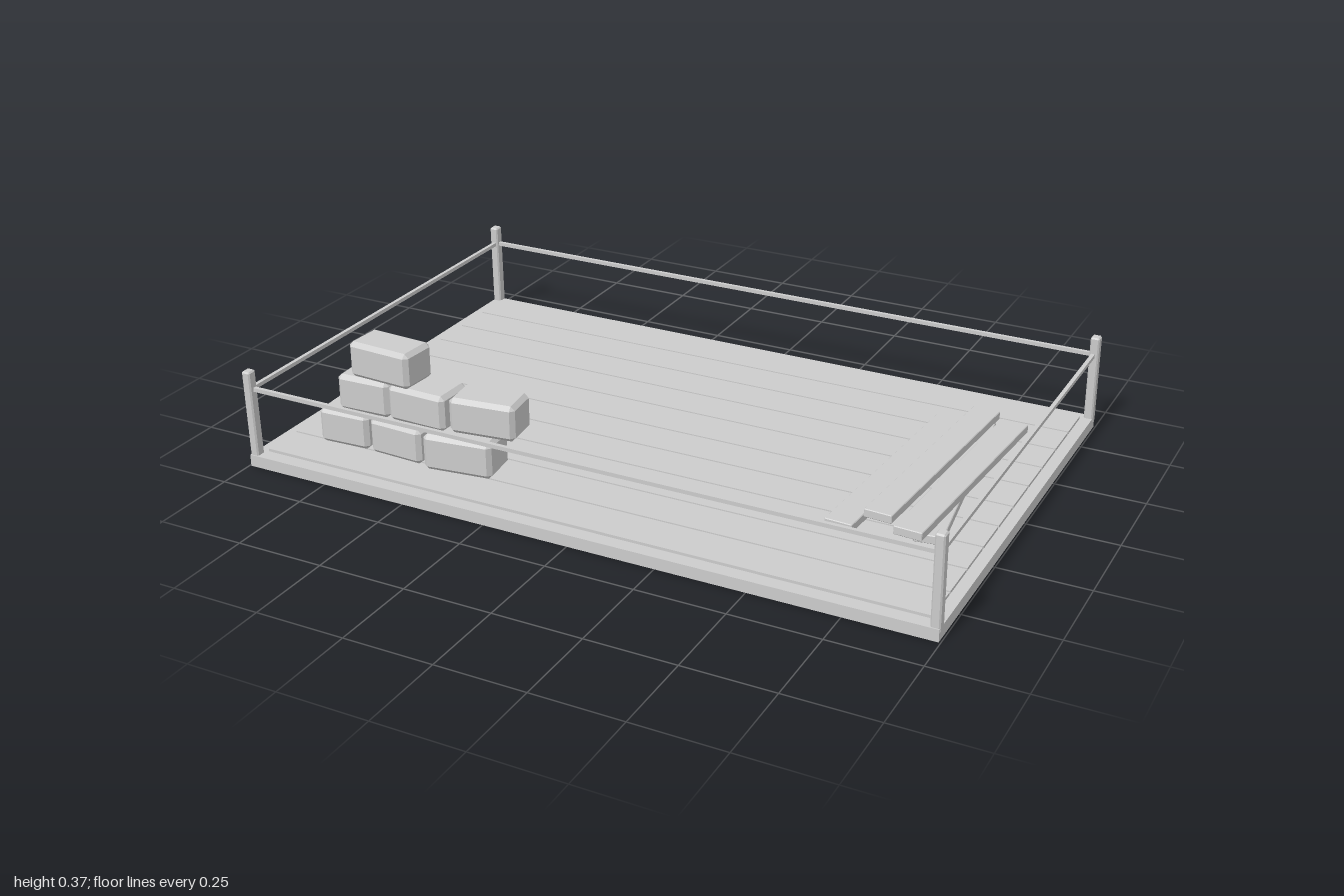
import * as THREE from 'three';
import { ConvexGeometry } from 'three/addons/geometries/ConvexGeometry.js';

// Block with all its edges cut off at a slant
function chamferedBox(w, h, d, c) {
  const points = [];
  for (const sx of [-1, 1]) for (const sy of [-1, 1]) for (const sz of [-1, 1]) {
    const x = w / 2, y = h / 2, z = d / 2;
    points.push(
      new THREE.Vector3(sx * x, sy * (y - c), sz * (z - c)),
      new THREE.Vector3(sx * (x - c), sy * y, sz * (z - c)),
      new THREE.Vector3(sx * (x - c), sy * (y - c), sz * z));
  }
  return new ConvexGeometry(points);
}

export function createModel() {
  const model = new THREE.Group();
  model.name = 'fencedPlatform';
  const grey = new THREE.MeshStandardMaterial({ color: 0xcccccc });
  grey.name = 'lightGrey';

  const add = (name, geometry, x, y, z, parent = model) => {
    const mesh = new THREE.Mesh(geometry, grey);
    mesh.name = name;
    mesh.position.set(x, y, z);
    parent.add(mesh);
    return mesh;
  };
  const group = (name) => {
    const g = new THREE.Group();
    g.name = name;
    model.add(g);
    return g;
  };

  // Base slab
  add('base', new THREE.BoxGeometry(1.99, 0.034, 1.282), 0, 0.017, 0);

  // Deck boards with narrow gaps
  const deck = group('deck');
  const seams = [-0.608, -0.49, -0.37, -0.248, -0.128, 0, 0.117, 0.237, 0.358, 0.48, 0.604];
  for (let i = 0; i < seams.length - 1; i++) {
    const depth = seams[i + 1] - seams[i] - 0.006;
    add('deckBoard', new THREE.BoxGeometry(1.925, 0.012, depth),
      0, 0.036, (seams[i] + seams[i + 1]) / 2, deck);
  }

  // Corner posts, each leaning a little
  const fence = group('fence');
  for (const sx of [-1, 1]) for (const sz of [-1, 1]) {
    const post = add('post', chamferedBox(0.026, 0.264, 0.029, 0.004),
      sx * 0.983, 0.152, sz * 0.626 + (sz > 0 ? 0 : -0.002), fence);
    post.rotation.x = 0.02;
  }

  // Handrails
  for (const s of [-1, 1]) {
    add('longRail', new THREE.BoxGeometry(1.96, 0.011, 0.011), 0, 0.23, s * 0.625, fence);
    add('shortRail', new THREE.BoxGeometry(0.011, 0.011, 1.25), s * 0.981, 0.23, 0, fence);
  }

  // Stacked blocks: x, y, z, width, height, depth, turn
  const blocks = group('blocks');
  const stack = [
    [-0.785, 0.096, 0.440, 0.155, 0.102, 0.120, 0.05],
    [-0.610, 0.096, 0.440, 0.168, 0.102, 0.125, -0.05],
    [-0.420, 0.096, 0.447, 0.200, 0.104, 0.120, 0.12],
    [-0.715, 0.207, 0.437, 0.160, 0.104, 0.118, 0.04],
    [-0.540, 0.207, 0.437, 0.180, 0.102, 0.122, -0.03],
    [-0.352, 0.209, 0.427, 0.190, 0.102, 0.112, 0.12],
    [-0.645, 0.314, 0.449, 0.195, 0.102, 0.115, -0.06],
  ];
  for (const [x, y, z, w, h, d, turn] of stack) {
    add('block', chamferedBox(w, h, d, 0.012), x, y, z, blocks).rotation.y = turn;
  }

  // Loose planks from a front end to a back end: x1, z1, x2, z2, y
  const planks = group('loosePlanks');
  const loose = [
    [0.608, 0.325, 0.652, -0.385, 0.057],
    [0.835, 0.290, 0.740, -0.405, 0.057],
    [0.698, 0.285, 0.746, -0.422, 0.086],
    [0.797, 0.335, 0.842, -0.375, 0.086],
  ];
  for (const [x1, z1, x2, z2, y] of loose) {
    const length = Math.hypot(x1 - x2, z1 - z2);
    add('loosePlank', chamferedBox(0.078, 0.024, length, 0.002),
      (x1 + x2) / 2, y, (z1 + z2) / 2, planks).rotation.y = Math.atan2(x1 - x2, z1 - z2);
  }

  return model;
}
